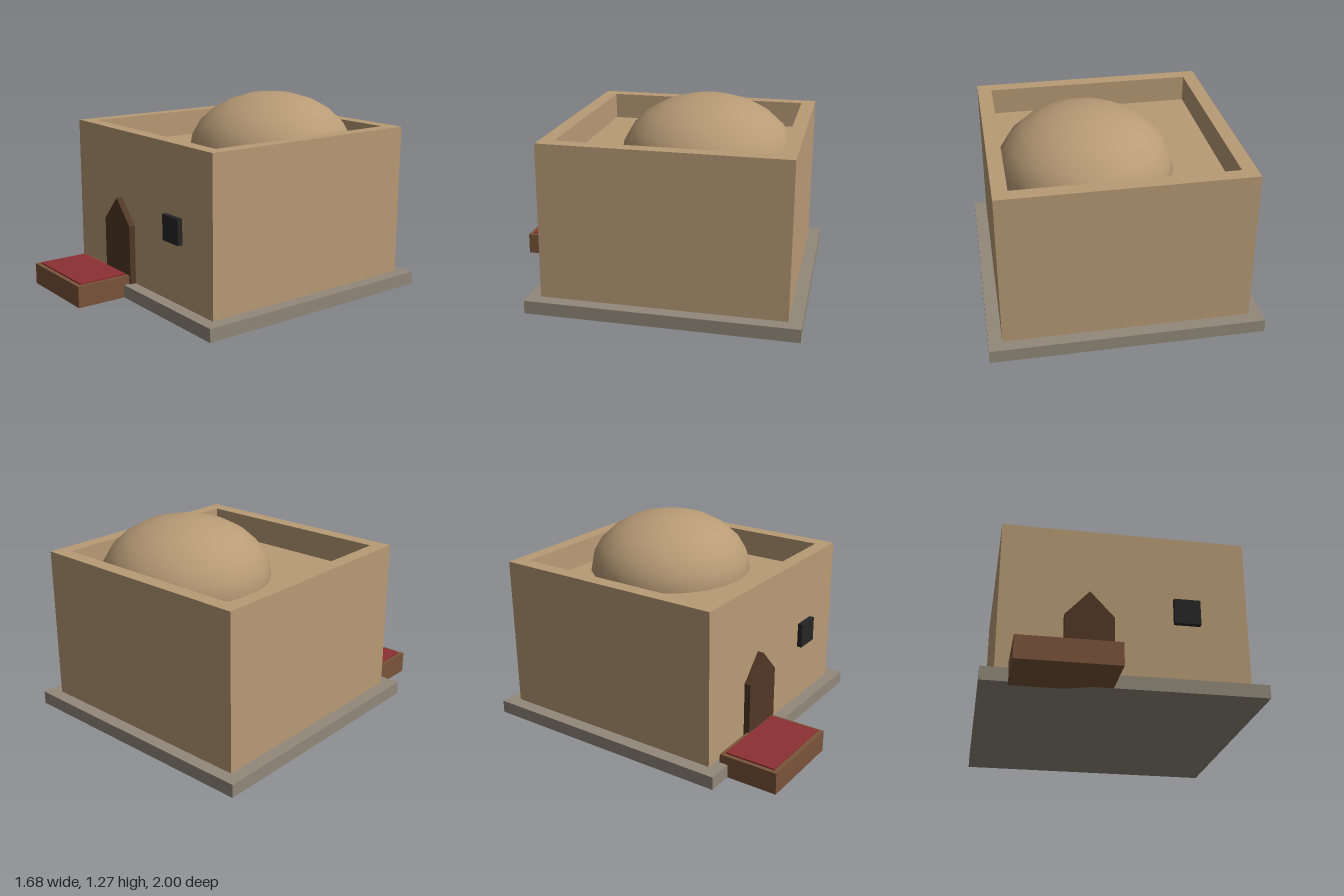
import * as THREE from 'three';

const mat = (name, color) => {
  const m = new THREE.MeshStandardMaterial({ color });
  m.name = name;
  return m;
};

export function createModel() {
  const group = new THREE.Group();
  group.name = 'domedHouse';
  const clay = mat('clay', 0xb89b76);
  const stone = mat('stone', 0x92887a);
  const wood = mat('wood', 0x7a543a);
  const darkWood = mat('darkWood', 0x523826);
  const cloth = mat('redCloth', 0x8c3032);
  const dark = mat('darkOpening', 0x262626);

  const add = (name, geometry, material) => {
    const mesh = new THREE.Mesh(geometry, material);
    mesh.name = name;
    group.add(mesh);
    return mesh;
  };
  // Box given by its extents on each axis
  const box = (name, material, [x0, x1], [y0, y1], [z0, z1]) =>
    add(name, new THREE.BoxGeometry(x1 - x0, y1 - y0, z1 - z0), material)
      .position.set((x0 + x1) / 2, (y0 + y1) / 2, (z0 + z1) / 2);

  const BASE = 0.083, ROOF = 0.885, TOP = 1.057;
  const X = 0.755, BACK = -0.92, FRONT = 0.595, T = 0.09;

  // Plinth and main room
  box('plinth', stone, [-0.838, 0.838], [0, BASE], [-1, 0.675]);
  box('walls', clay, [-X, X], [BASE, ROOF], [BACK, FRONT]);

  // Parapet: a rectangular ring standing on the roof
  const rect = (P, x, z0, z1) => new P([
    new THREE.Vector2(-x, -z1), new THREE.Vector2(x, -z1),
    new THREE.Vector2(x, -z0), new THREE.Vector2(-x, -z0),
  ]);
  const ring = rect(THREE.Shape, X, BACK, FRONT);
  ring.holes.push(rect(THREE.Path, X - T, BACK + T, FRONT - T));
  const parapet = new THREE.ExtrudeGeometry(ring, { depth: TOP - ROOF, bevelEnabled: false });
  parapet.rotateX(-Math.PI / 2);
  add('parapet', parapet, clay).position.y = ROOF;

  // Flattened dome, set off-centre on the roof
  const dome = add('dome', new THREE.SphereGeometry(0.54, 24, 6, 0, Math.PI * 2, 0, Math.PI / 2), clay);
  dome.scale.y = 0.385 / 0.54;
  dome.position.set(0.16, ROOF, -0.325);

  // Pointed door
  const doorShape = new THREE.Shape([
    [-0.367, BASE], [-0.07, BASE], [-0.07, 0.463], [-0.2185, 0.623], [-0.367, 0.463],
  ].map(([x, y]) => new THREE.Vector2(x, y)));
  add('door', new THREE.ExtrudeGeometry(doorShape, { depth: 0.04, bevelEnabled: false }), darkWood)
    .position.z = FRONT;

  box('window', dark, [0.295, 0.457], [0.463, 0.624], [FRONT, 0.627]);

  // Low bench with a cloth on top
  box('bench', wood, [-0.676, -0.085], [0, 0.138], [0.62, 1]);
  box('benchCloth', cloth, [-0.65, -0.11], [0.138, 0.147], [0.645, 0.972]);

  return group;
}
